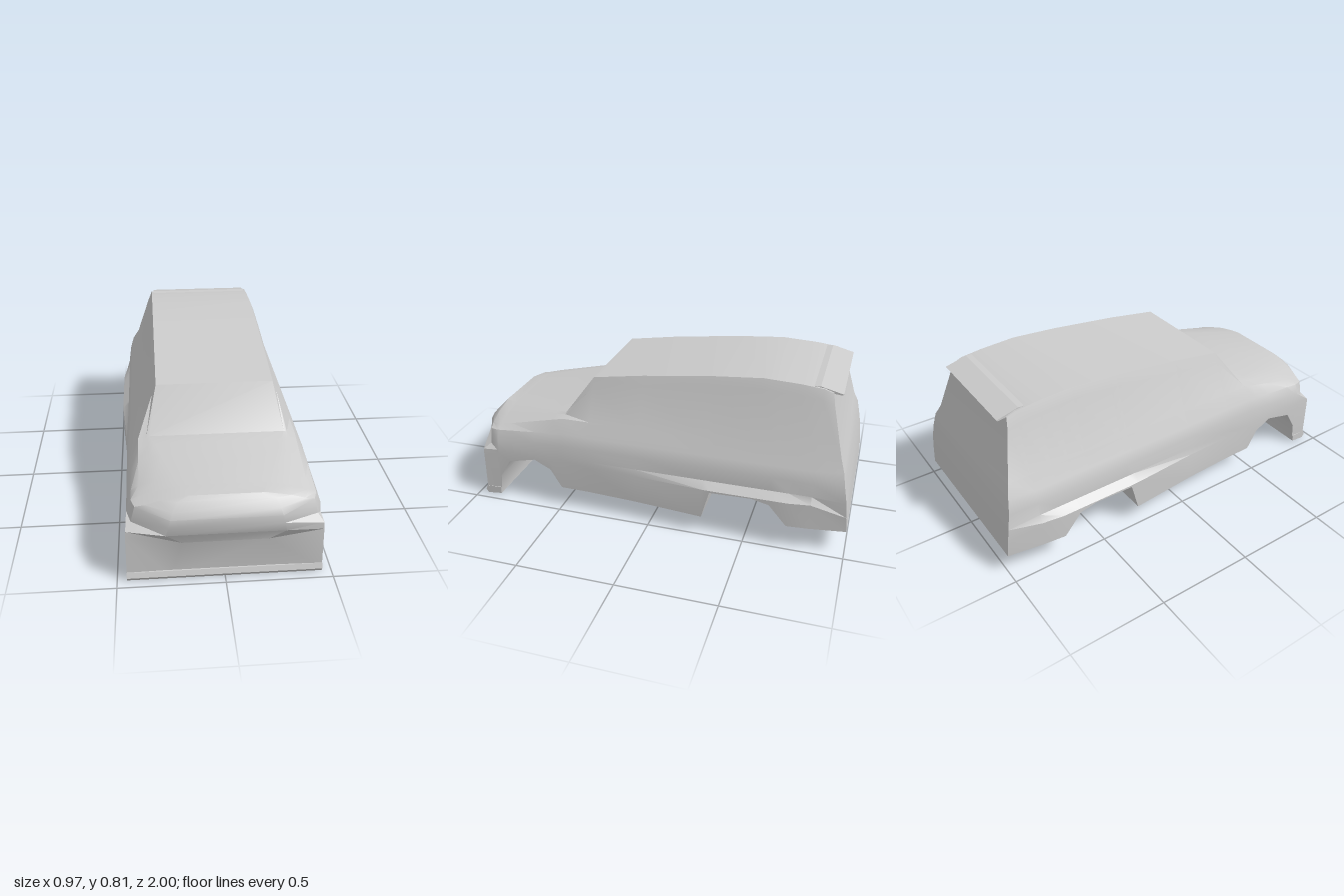
import * as THREE from 'three';
import { toCreasedNormals } from 'three/addons/utils/BufferGeometryUtils.js';

const material = new THREE.MeshStandardMaterial({ color: 0xcccccc, side: THREE.DoubleSide });
const lerp = THREE.MathUtils.lerp;

// Linear lookup in a list of [z, value], z rising
function sample(list, z) {
  for (let i = 1; i < list.length; i++) {
    const [z0, v0] = list[i - 1], [z1, v1] = list[i];
    if (z <= z1) return lerp(v0, v1, (z - z0) / (z1 - z0));
  }
  return list[list.length - 1][1];
}

const roofLine = [[-0.9, 0.775], [-0.78, 0.8], [-0.52, 0.812], [-0.27, 0.79], [0.08, 0.748], [0.35, 0.706]];
const flareLine = [[-1, 0.445], [-0.72, 0.485], [-0.3, 0.485], [0.2, 0.45], [0.95, 0.45]];
// Underside with the two wheel arches and the front bumper
const floorLine = [[-0.86, 0.12], [-0.71, 0.125], [-0.62, 0.23], [-0.53, 0.25], [-0.32, 0.245], [-0.28, 0.095],
  [0.08, 0.102], [0.35, 0.108], [0.5, 0.11], [0.56, 0.21], [0.65, 0.255], [0.8, 0.22], [0.86, 0.12], [0.87, 0.01]];

// Half section of the cabin, from floor edge up to roof edge
function cabin(z) {
  const roof = sample(roofLine, z), flare = sample(flareLine, z);
  return [[flare, sample(floorLine, z), z], [flare, 0.256, z], [0.448, 0.29, z], [0.445, 0.36, z],
    [0.425, 0.42, z], [0.385, 0.49, z], [0.31, roof - 0.05, z], [0.29, roof, z]];
}

// Half section of the bonnet, blended from windscreen base to nose
function bonnet(z) {
  const t = (z - 0.5) / 0.41;
  const mix = (a, b) => [lerp(a[0], b[0], t), lerp(a[1], b[1], t), z];
  return [[0.45, sample(floorLine, z), z], [0.45, 0.258, z], [0.448, 0.28, z],
    mix([0.445, 0.36], [0.444, 0.33]), mix([0.425, 0.42], [0.42, 0.385]), mix([0.385, 0.49], [0.385, 0.395]),
    mix([0.345, 0.498], [0.3, 0.42]), mix([0.33, 0.503], [0.18, 0.446])];
}

// Slanted tail end, headlight corner and protruding nose
const tail = [[0.44, 0.118, -1], [0.445, 0.2, -0.993], [0.446, 0.28, -0.985], [0.44, 0.36, -0.97],
  [0.42, 0.43, -0.957], [0.385, 0.49, -0.935], [0.31, 0.725, -0.875], [0.288, 0.775, -0.865]];
const corner = [[0.455, 0.01, 0.95], [0.452, 0.24, 0.95], [0.45, 0.275, 0.95], [0.425, 0.305, 0.915],
  [0.405, 0.384, 0.915], [0.36, 0.397, 0.925], [0.295, 0.42, 0.93], [0.17, 0.446, 0.935]];
const nose = [[0.25, 0.01, 0.945], [0.2, 0.2, 0.95], [0.27, 0.275, 0.995], [0.26, 0.32, 1],
  [0.25, 0.36, 1], [0.24, 0.39, 0.985], [0.22, 0.425, 0.955], [0.16, 0.446, 0.938]];

// Skin across mirrored half sections, closed at both ends
function loft(halves) {
  const rings = halves.map(h => [...h, ...h.map(([x, y, z]) => [-x, y, z]).reverse()]);
  const n = rings[0].length, last = rings.length - 1, out = [];
  const quad = (a, b, c, d) => out.push(...a, ...b, ...c, ...a, ...c, ...d);
  for (let i = 0; i < last; i++) {
    for (let j = 0; j < n; j++) {
      const k = (j + 1) % n;
      quad(rings[i][j], rings[i][k], rings[i + 1][k], rings[i + 1][j]);
    }
  }
  const back = rings[0], front = rings[last];
  for (let j = 0; j < n / 2 - 1; j++) {
    quad(front[n - 1 - j], front[j], front[j + 1], front[n - 2 - j]);
    quad(back[j], back[n - 1 - j], back[n - 2 - j], back[j + 1]);
  }
  const g = new THREE.BufferGeometry();
  g.setAttribute('position', new THREE.Float32BufferAttribute(out, 3));
  return toCreasedNormals(g, 0.55);
}

// Constant profile of [z, y] points stretched across the width
function crossBar(points, width) {
  const shape = new THREE.Shape(points.map(([z, y]) => new THREE.Vector2(-z, y)));
  const g = new THREE.ExtrudeGeometry(shape, { depth: width, bevelEnabled: false });
  return g.translate(0, 0, -width / 2).rotateY(Math.PI / 2);
}

export function createModel() {
  const model = new THREE.Group();
  const add = (name, geometry) => {
    const mesh = new THREE.Mesh(geometry, material);
    mesh.name = name;
    model.add(mesh);
  };

  const cabinStations = [-0.82, -0.71, -0.62, -0.53, -0.32, -0.28, 0.08, 0.35];
  const bonnetStations = [0.5, 0.56, 0.65, 0.8, 0.86, 0.87];
  add('bodyShell', loft([tail, ...cabinStations.map(cabin), ...bonnetStations.map(bonnet), corner, nose]));

  // Roof lip over the rear window
  add('rearRoofLip', crossBar([[-0.74, 0.795], [-0.8, 0.799], [-0.91, 0.771], [-0.905, 0.765], [-0.74, 0.782]], 0.56));

  // Lip along the bottom of the front bumper
  add('frontBumperLip', crossBar([[0.87, 0.008], [0.95, 0], [0.963, 0.02], [0.953, 0.045], [0.87, 0.045]], 0.91));

  return model;
}
